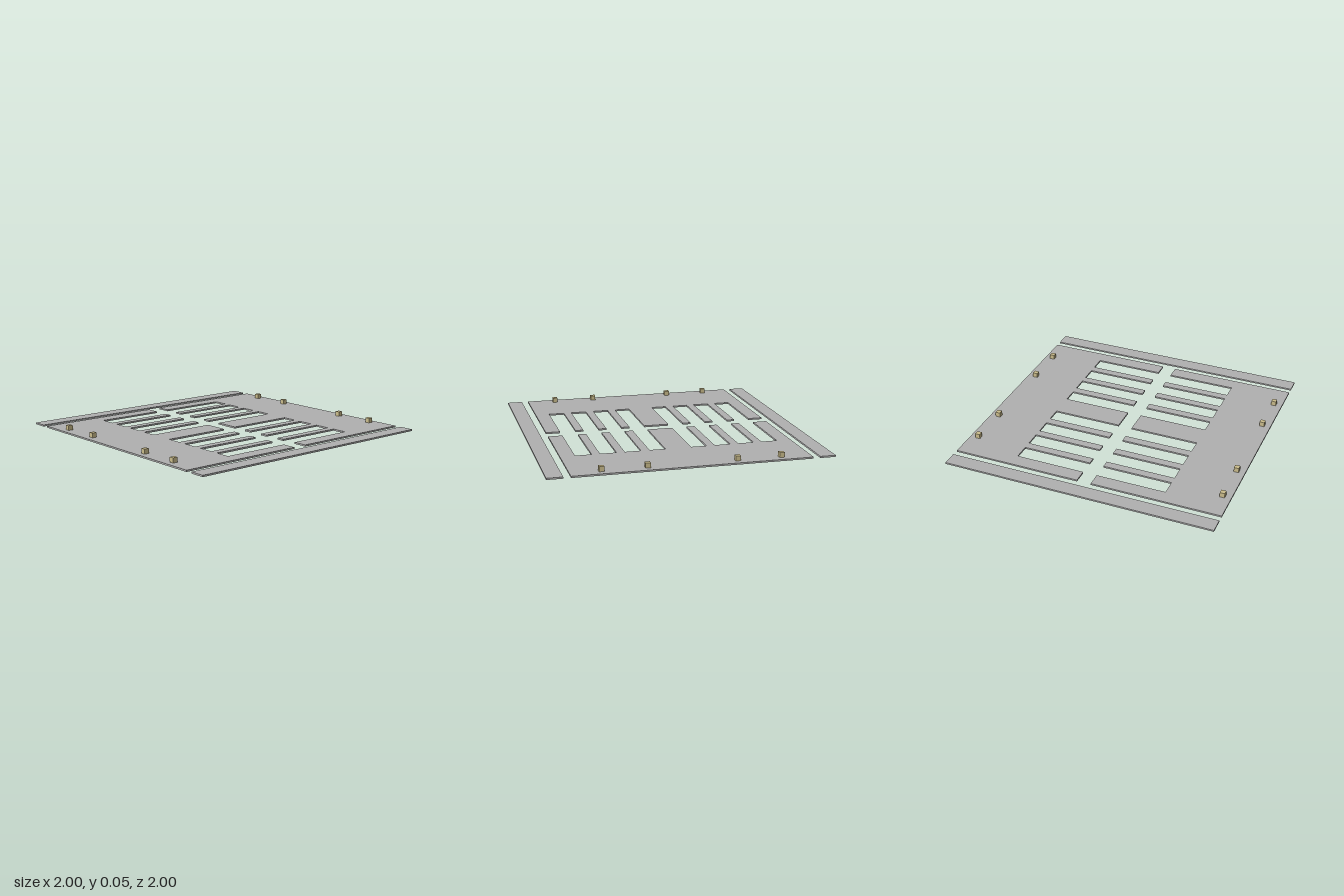
import * as THREE from 'three';

const THICK = 0.012;      // plate thickness
const PANEL_X = 0.838;    // half width of the slotted panels
const AISLE = 0.052;      // half width of the open centre aisle
const SLOT_END = 0.563;   // outer end of the slots
const SLOTS = [[0.093, 0.207], [0.268, 0.383], [0.442, 0.558], [0.617, 0.733]];

// Comb-shaped outline: solid along z = 1, slots open towards the aisle
function combShape() {
  const edges = [
    ...SLOTS.map(([a, b]) => [-b, -a]).reverse(),
    ...SLOTS,
  ];
  const shape = new THREE.Shape();
  shape.moveTo(-PANEL_X, 1);
  shape.lineTo(-PANEL_X, AISLE);
  for (const [a, b] of edges) {
    shape.lineTo(a, AISLE);
    shape.lineTo(a, SLOT_END);
    shape.lineTo(b, SLOT_END);
    shape.lineTo(b, AISLE);
  }
  shape.lineTo(PANEL_X, AISLE);
  shape.lineTo(PANEL_X, 1);
  shape.closePath();
  return shape;
}

export function createModel() {
  const model = new THREE.Group();
  model.name = 'slottedFloor';

  const grey = new THREE.MeshStandardMaterial({ color: 0xb0b0b0 });
  grey.name = 'plateGrey';
  const sand = new THREE.MeshStandardMaterial({ color: 0xcbbd8c });
  sand.name = 'postSand';

  const add = (name, geometry, material, x = 0, y = 0, z = 0) => {
    const mesh = new THREE.Mesh(geometry, material);
    mesh.name = name;
    mesh.position.set(x, y, z);
    model.add(mesh);
    return mesh;
  };

  // Two comb panels facing each other across the aisle
  const comb = new THREE.ExtrudeGeometry(combShape(), { depth: THICK, bevelEnabled: false });
  comb.rotateX(Math.PI / 2).translate(0, THICK, 0);
  add('frontPanel', comb, grey);
  add('backPanel', comb, grey).rotation.y = Math.PI;

  // Long side strips
  const strip = new THREE.BoxGeometry(0.112, THICK, 2);
  add('leftStrip', strip, grey, 0.944, THICK / 2);
  add('rightStrip', strip, grey, -0.944, THICK / 2);

  // Small posts along the front and back edges
  const postHeight = 0.035;
  const post = new THREE.BoxGeometry(0.036, postHeight, 0.036);
  for (const z of [0.938, -0.938]) {
    for (const x of [-0.626, -0.313, 0.313, 0.626]) {
      add(z > 0 ? 'frontPost' : 'backPost', post, sand, x, THICK + postHeight / 2, z);
    }
  }

  return model;
}
